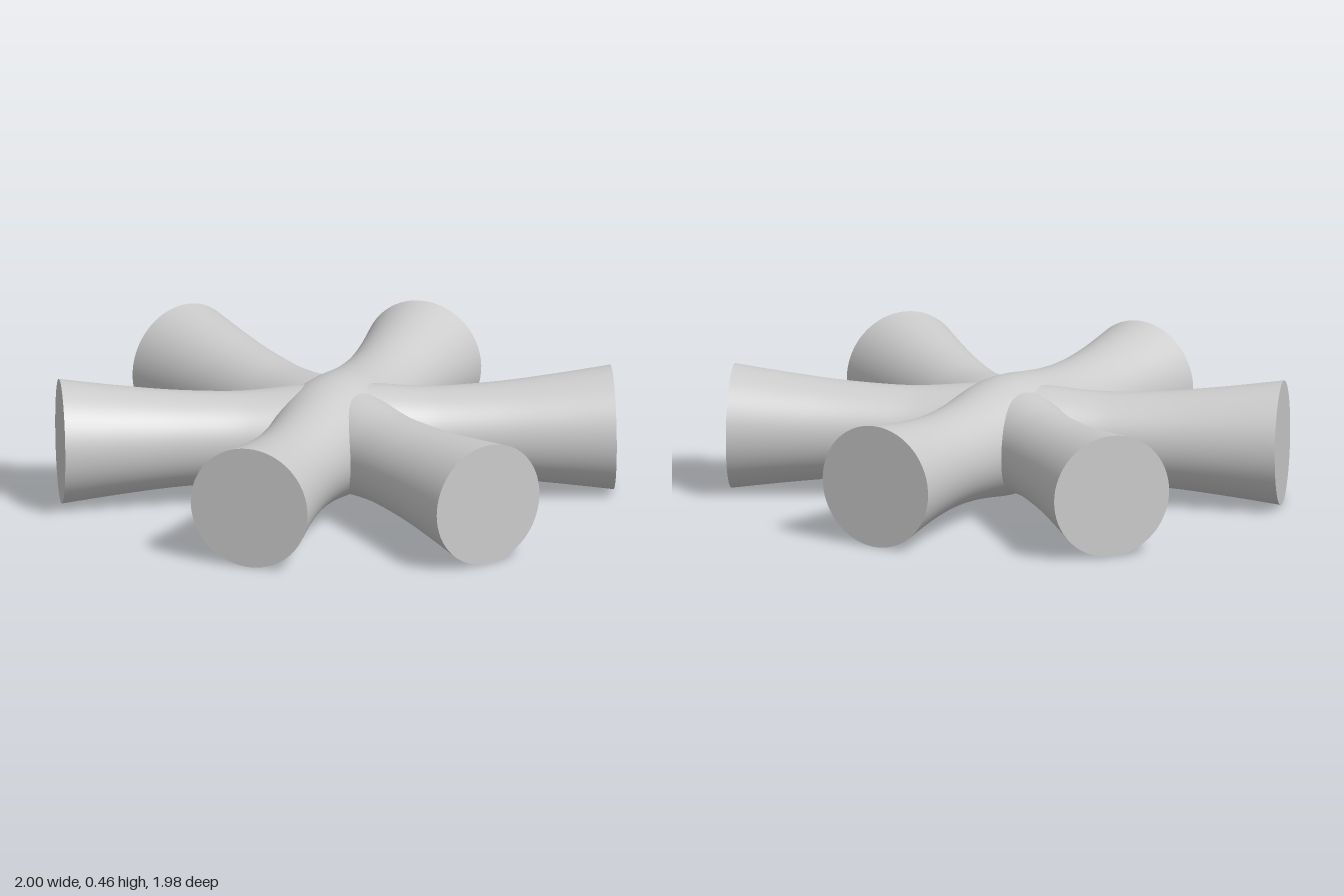
import * as THREE from 'three';

const MID_Y = 0.23;
const END_RADIUS = 0.23;
const SEGMENTS = 64;

// Half profiles: [radius, distance from the hub], distance as a share of the half length
const WAISTED = [[0.19, 0], [0.187, 0.12], [0.173, 0.28], [0.17, 0.4], [0.181, 0.6], [0.203, 0.8], [END_RADIUS, 1]];
const BULGED = [[0.219, 0], [0.212, 0.11], [0.197, 0.22], [0.184, 0.34], [0.178, 0.48], [0.182, 0.62], [0.2, 0.8], [END_RADIUS, 1]];

// One straight bar through the hub, flared to a flat disc at both ends
function makeBar(name, endX, endZ, half, material) {
  const bar = new THREE.Group();
  bar.name = name;
  const length = Math.hypot(endX, endZ);

  const mirrored = half.slice(1).reverse().map(([r, s]) => [r, -s]);
  const knots = [...mirrored, ...half].map(([r, s]) => new THREE.Vector2(r, s * length));
  const profile = new THREE.SplineCurve(knots).getPoints(72);
  const tube = new THREE.Mesh(new THREE.LatheGeometry(profile, SEGMENTS), material);
  tube.name = name + 'Tube';
  bar.add(tube);

  // Flat end discs
  for (const side of [1, -1]) {
    const cap = new THREE.Mesh(new THREE.CircleGeometry(END_RADIUS, SEGMENTS), material);
    cap.name = name + 'EndCap';
    cap.rotation.x = -side * Math.PI / 2;
    cap.position.y = side * length;
    bar.add(cap);
  }

  const direction = new THREE.Vector3(endX, 0, endZ).normalize();
  bar.quaternion.setFromUnitVectors(new THREE.Vector3(0, 1, 0), direction);
  bar.position.y = MID_Y;
  return bar;
}

export function createModel() {
  const model = new THREE.Group();
  model.name = 'sixArmedPipeNode';
  const material = new THREE.MeshStandardMaterial({ color: 0xcccccc });

  model.add(makeBar('straightBar', 0, 0.99, WAISTED, material));
  model.add(makeBar('longDiagonalBar', 0.885, 0.508, WAISTED, material));
  model.add(makeBar('shortDiagonalBar', 0.75, -0.525, BULGED, material));
  return model;
}
